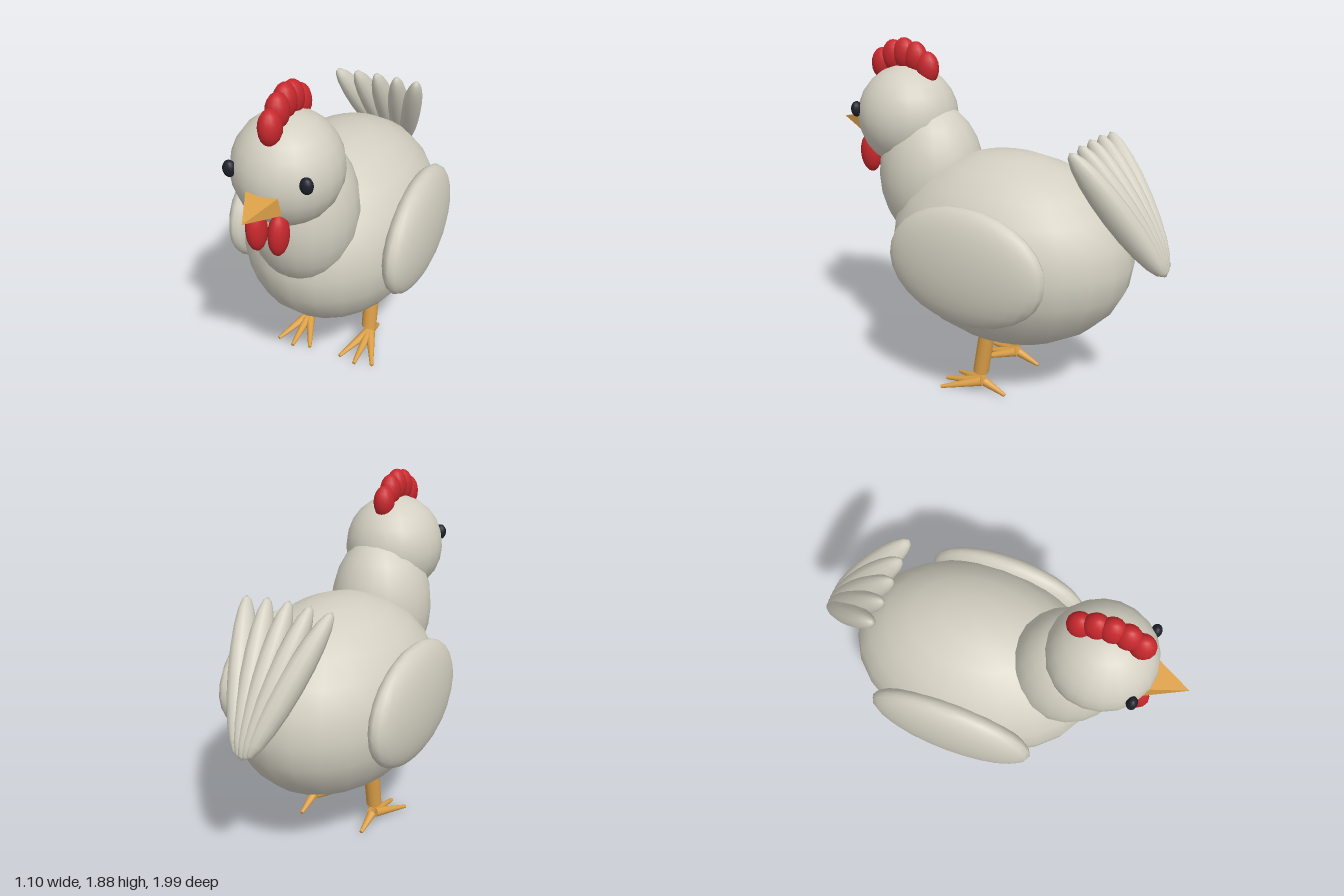
import * as THREE from 'three';

const paint = (name, color) => {
  const m = new THREE.MeshStandardMaterial({ color });
  m.name = name;
  return m;
};

export function createModel() {
  const feathers = paint('warm grey feathers', 0xd3cfc1);
  const red = paint('comb red', 0xc8282d);
  const orange = paint('beak orange', 0xdca048);
  const dark = paint('eye black', 0x1d1f2a);
  const beakMaterial = orange.clone();
  beakMaterial.flatShading = true;

  const hen = new THREE.Group();
  hen.name = 'hen';
  const UP = new THREE.Vector3(0, 1, 0);

  function add(name, geometry, material, parent = hen) {
    const mesh = new THREE.Mesh(geometry, material);
    mesh.name = name;
    parent.add(mesh);
    return mesh;
  }

  // Smooth ellipsoid from centre and radii
  function ellipsoid(name, material, center, radii, w = 20, h = 12) {
    const mesh = add(name, new THREE.SphereGeometry(1, w, h), material);
    mesh.position.set(...center);
    mesh.scale.set(...radii);
    return mesh;
  }

  // Tapered rod from point a to point b
  function rod(name, a, b, ra, rb, sides, parent) {
    const from = new THREE.Vector3(...a);
    const dir = new THREE.Vector3(...b).sub(from);
    const mesh = add(name, new THREE.CylinderGeometry(rb, ra, dir.length(), sides), orange, parent);
    mesh.position.copy(from).addScaledVector(dir, 0.5);
    mesh.quaternion.setFromUnitVectors(UP, dir.normalize());
    return mesh;
  }

  // Body, neck and head
  ellipsoid('body', feathers, [0, 0.818, -0.1], [0.5, 0.526, 0.69], 24, 12);
  ellipsoid('neck', feathers, [0, 1.15, 0.4], [0.28, 0.403, 0.295], 20, 12);
  ellipsoid('head', feathers, [0, 1.46, 0.55], [0.27, 0.28, 0.28], 20, 12);

  // Tail feathers fan out upwards from a narrow base
  for (let i = -2; i <= 2; i++) {
    const feather = ellipsoid('tailFeather', feathers, [0.067 * i, 1.15, -0.763], [0.062, 0.388, 0.08], 12, 10);
    const dir = new THREE.Vector3(0.053 * i, 0.317, 0.22).normalize();
    feather.quaternion.setFromUnitVectors(UP, dir);
  }

  // Comb lobes follow the crown of the head
  for (let i = -2; i <= 2; i++) {
    const y = 1.795 - 0.016 * i * i;
    ellipsoid('combLobe', red, [0, y, 0.563 + 0.074 * i], [0.055, 0.088, 0.066], 14, 10);
  }

  // Four-sided beak
  const cone = new THREE.ConeGeometry(Math.SQRT2, 0.2, 4);
  cone.rotateY(Math.PI / 4).rotateX(Math.PI / 2);
  const beak = add('beak', cone, beakMaterial);
  beak.scale.set(0.087, 0.05, 1);
  beak.position.set(0, 1.403, 0.9);

  for (const s of [-1, 1]) {
    ellipsoid('wing', feathers, [s * 0.44, 0.845, -0.085], [0.111, 0.316, 0.455], 24, 14);
    ellipsoid('eye', dark, [s * 0.192, 1.508, 0.756], [0.033, 0.042, 0.028], 14, 10);
    const wattle = ellipsoid('wattle', red, [s * 0.057, 1.232, 0.778], [0.049, 0.113, 0.064], 14, 10);
    wattle.rotation.z = s * -0.04;

    // Leg with three front toes and one back toe
    const leg = new THREE.Group();
    leg.name = 'leg';
    leg.position.x = s * 0.195;
    hen.add(leg);
    rod('shank', [0, 0.125, -0.03], [0, 0.4, -0.075], 0.043, 0.043, 14, leg);
    for (const k of [-1, 0, 1]) {
      rod('frontToe', [k * 0.008, 0.066, -0.035], [k * 0.1, 0.016, 0.197 - 0.025 * k * k], 0.028, 0.01, 10, leg);
    }
    rod('backToe', [0, 0.064, -0.055], [0, 0.016, -0.182], 0.025, 0.01, 10, leg);
  }

  return hen;
}
